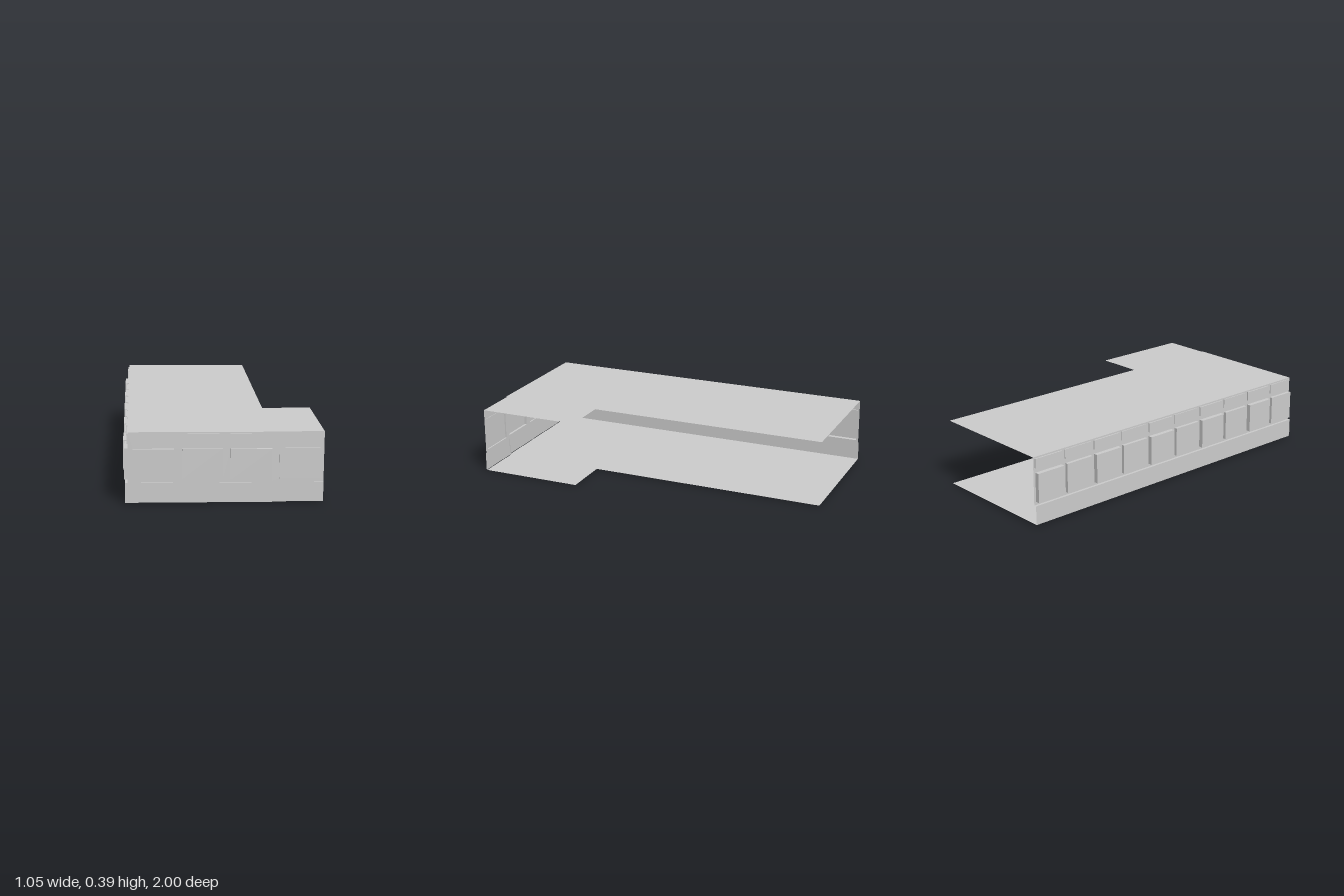
import * as THREE from 'three';

const SILL = 0.107, ROOF = 0.377;      // heights above the floor
const BIG = [0.124, 0.289], SMALL = [0.315, 0.368];

export function createModel() {
  const model = new THREE.Group();
  model.name = 'building';
  const grey = new THREE.MeshStandardMaterial({ color: 0xcccccc, side: THREE.DoubleSide });
  grey.name = 'concrete grey';

  // The whole block leans very slightly to one side
  const block = new THREE.Group();
  block.name = 'facadeBlock';
  block.rotation.z = -0.0095;
  block.position.y = 0.008;
  model.add(block);

  function add(parent, name, geometry, x = 0, y = 0, z = 0) {
    const mesh = new THREE.Mesh(geometry, grey);
    mesh.name = name;
    mesh.position.set(x, y, z);
    parent.add(mesh);
    return mesh;
  }

  // Window bay: a shallow box that is open on the room side
  function bay(parent, name, [u0, u1], [y0, y1], depth) {
    const box = new THREE.BoxGeometry(u1 - u0, y1 - y0, depth);
    box.setIndex(Array.from(box.index.array).slice(0, 30));
    box.clearGroups();
    add(parent, name, box, (u0 + u1) / 2, (y0 + y1) / 2, depth / 2);
  }

  // Wall in its own plane: u along the wall, local z pointing outwards
  function wall(name, u0, u1, low0, ledge, windows) {
    const g = new THREE.Group();
    g.name = name;
    const rect = (Type, a, b, c, d) => {
      const r = new Type();
      r.moveTo(a, c).lineTo(b, c).lineTo(b, d).lineTo(a, d).closePath();
      return r;
    };
    const upper = rect(THREE.Shape, u0, u1, SILL, ROOF);
    windows.forEach(({ big, small, depth, smallDepth }) => {
      upper.holes.push(rect(THREE.Path, ...big, ...BIG), rect(THREE.Path, ...small, ...SMALL));
      bay(g, 'windowBay', big, BIG, depth);
      bay(g, 'transomBay', small, SMALL, smallDepth);
    });
    add(g, 'upperWall', new THREE.ShapeGeometry(upper));
    const width = u1 - low0, mid = (u1 + low0) / 2;
    add(g, 'lowerWall', new THREE.PlaneGeometry(width, SILL), mid, SILL / 2, ledge);
    add(g, 'sillLedge', new THREE.PlaneGeometry(width, ledge).rotateX(-Math.PI / 2), mid, SILL, ledge / 2);
    block.add(g);
    return g;
  }

  // Front facade: main part with three bays, wing with one, set back a little
  const front = wall('frontWall', -0.505, 0.25, -0.52, 0.004, [
    { big: [-0.48, -0.265], small: [-0.485, -0.256], depth: 0.014, smallDepth: 0.006 },
    { big: [-0.222, -0.01], small: [-0.23, 0], depth: 0.008, smallDepth: 0.003 },
    { big: [0.03, 0.247], small: [0.028, 0.249], depth: 0.014, smallDepth: 0.006 },
  ]);
  front.position.z = 0.985;
  const wing = wall('wingFrontWall', 0.25, 0.522, 0.25, 0.004, [
    { big: [0.288, 0.501], small: [0.28, 0.512], depth: 0.008, smallDepth: 0.003 },
  ]);
  wing.position.z = 0.977;
  add(block, 'wallStep', new THREE.PlaneGeometry(0.008, ROOF).rotateY(Math.PI / 2), 0.25, ROOF / 2, 0.981);

  // Long side facade: ten bays, alternately deep and shallow
  const bays = [];
  for (let i = 0; i < 10; i++) {
    const c = -0.9 + i * 0.2, deep = i % 2 === 0;
    bays.push({
      big: [c - 0.087, Math.min(c + 0.087, 0.98)],
      small: [c - 0.09, Math.min(c + 0.09, 0.98)],
      depth: deep ? 0.025 : 0.018,
      smallDepth: deep ? 0.008 : 0.005,
    });
  }
  const side = wall('sideWall', -1, 0.985, -1, 0.015, bays);
  side.rotation.y = -Math.PI / 2;
  side.position.x = -0.505;

  // L-shaped floor and roof sheets
  function slab(name, y, left) {
    const points = [[left, -1], [0.25, -1], [0.25, 0.385], [0.522, 0.385],
      [0.522, 0.977], [0.25, 0.977], [0.25, 0.985], [left, 0.985]];
    const shape = new THREE.Shape(points.map(([x, z]) => new THREE.Vector2(x, -z)));
    add(block, name, new THREE.ShapeGeometry(shape).rotateX(-Math.PI / 2), 0, y, 0);
  }
  slab('floor', 0, -0.52);
  slab('roof', ROOF, -0.505);

  return model;
}
